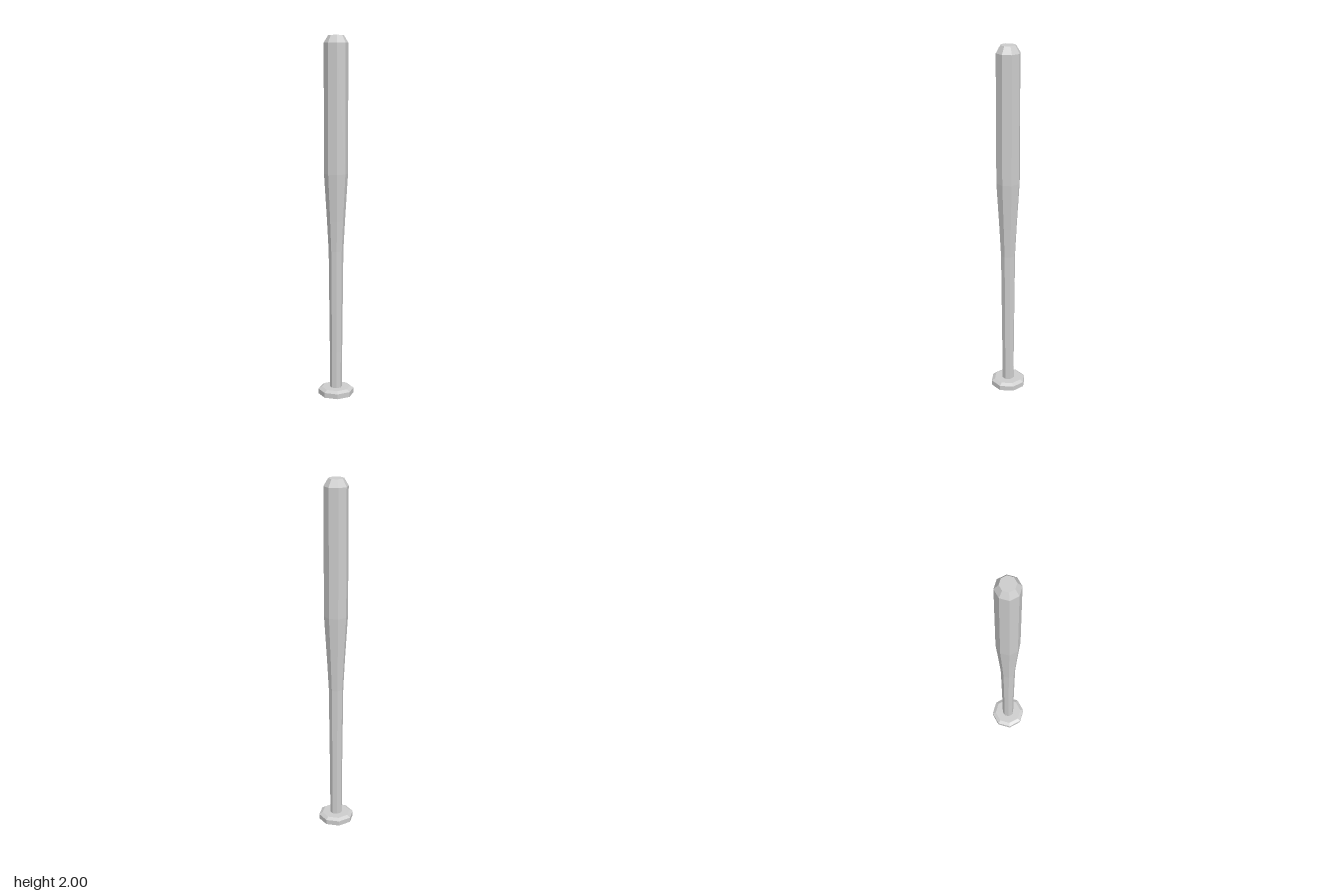
import * as THREE from 'three';

const SIDES = 8;

// Eight-sided turned part from [radius, height] pairs, listed bottom to top
function turned(name, profile, material) {
  const points = profile.map(([r, y]) => new THREE.Vector2(r, y));
  const mesh = new THREE.Mesh(new THREE.LatheGeometry(points, SIDES), material);
  mesh.name = name;
  return mesh;
}

export function createModel() {
  const group = new THREE.Group();
  group.name = 'bat';
  const metal = new THREE.MeshStandardMaterial({ color: 0xcccccc, flatShading: true });
  metal.name = 'light grey metal';

  // Flat end knob with a bevelled upper rim
  group.add(turned('knob', [[0, 0], [0.1, 0], [0.1, 0.028], [0.08, 0.04], [0, 0.04]], metal));

  // Slim handle, slightly wider upwards
  group.add(turned('handle', [[0.034, 0.035], [0.035, 0.25], [0.041, 0.83]], metal));

  // Taper and straight barrel with a chamfered, closed tip
  group.add(turned('barrel', [
    [0.041, 0.83], [0.05, 1.0], [0.066, 1.26], [0.066, 1.96], [0.042, 2], [0, 2],
  ], metal));

  return group;
}
